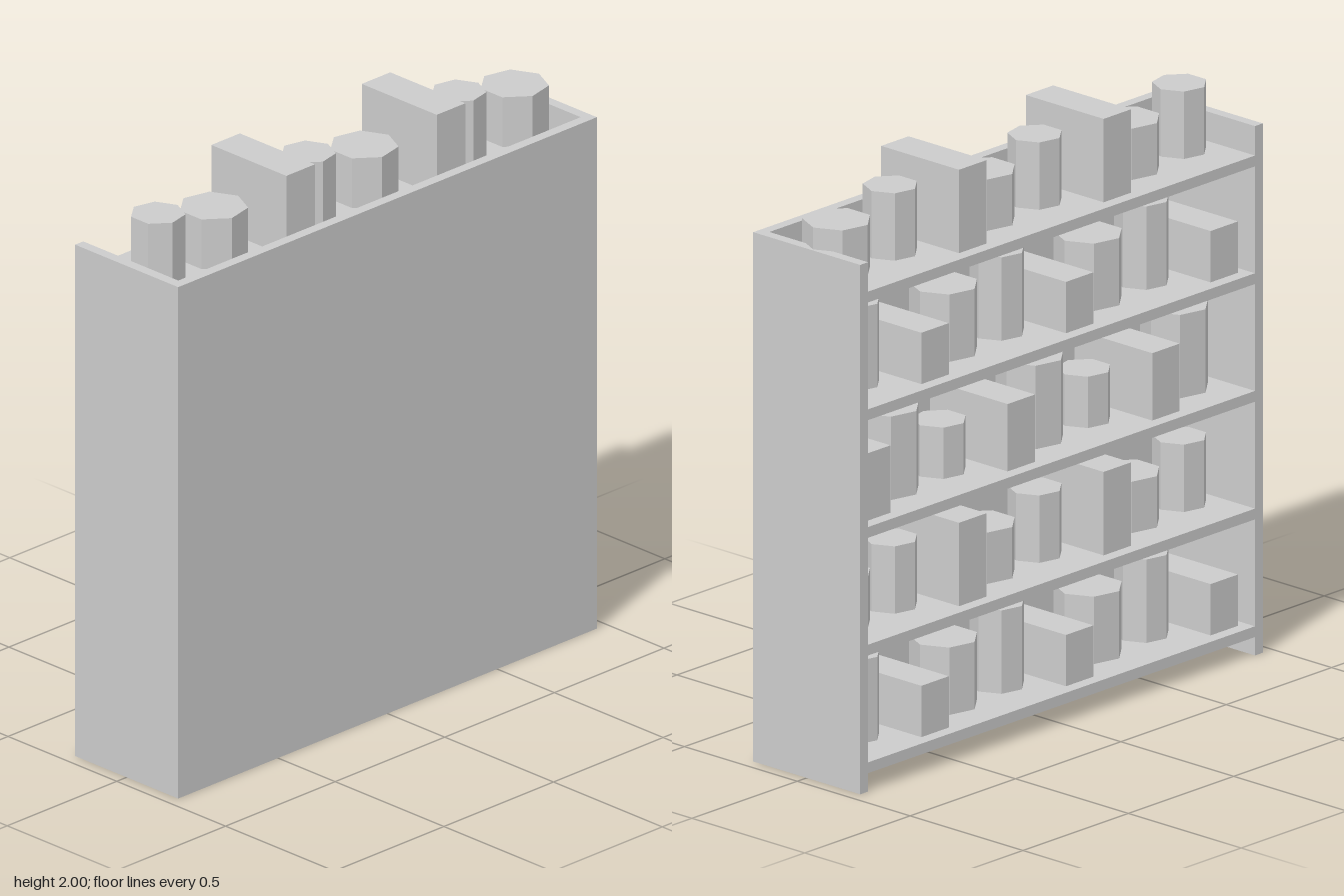
import * as THREE from 'three';

const gray = new THREE.MeshStandardMaterial({ color: 0xcccccc });
gray.name = 'plain gray';
gray.flatShading = true;

const W = 1.91, H = 1.815, D = 0.474, T = 0.037; // case size and board thickness
const mod3 = (n) => ((n % 3) + 3) % 3;

function add(parent, name, geometry, x, y, z) {
  const mesh = new THREE.Mesh(geometry, gray);
  mesh.name = name;
  mesh.position.set(x, y, z);
  parent.add(mesh);
  return mesh;
}

// Seven-sided jar with one corner towards +x
function jar(radius, height) {
  return new THREE.CylinderGeometry(radius, radius, height, 7).rotateY(Math.PI / 2);
}

// The three kinds of goods, as width along the shelf and shape
const goods = [
  { name: 'narrowJar', width: 0.182, make: (h) => jar(0.091, h) },
  { name: 'wideJar', width: 0.228, make: (h) => jar(0.114, h) },
  { name: 'carton', width: 0.13, make: (h) => new THREE.BoxGeometry(0.13, h, 0.345) },
];
const heights = [0.176, 0.231, 0.286];

export function createModel() {
  const model = new THREE.Group();
  model.name = 'stockedShelf';

  // Case: closed panel at the front, open at the back
  add(model, 'frontPanel', new THREE.BoxGeometry(W, H, T), 0, H / 2, D / 2 - T / 2);
  for (const s of [-1, 1]) {
    add(model, s > 0 ? 'leftSide' : 'rightSide',
      new THREE.BoxGeometry(T, H, D - T), s * (W / 2 - T / 2), H / 2, -T / 2);
  }

  // Five shelves, each with a row of eight goods
  for (let level = 0; level < 5; level++) {
    const top = 0.1 + level * 0.4035;
    const shelf = new THREE.Group();
    shelf.name = 'shelf' + (level + 1);
    model.add(shelf);
    add(shelf, 'board', new THREE.BoxGeometry(W - 2 * T, T, D - T), 0, top - T / 2, -T / 2);

    let x = -0.884;
    for (let i = 0; i < 8; i++) {
      const item = goods[mod3(level - 4 + i)];
      const h = heights[mod3(level - 3 - i)];
      add(shelf, item.name, item.make(h), x + item.width / 2, top + h / 2, -0.021);
      x += item.width + 0.0487;
    }
  }
  return model;
}
